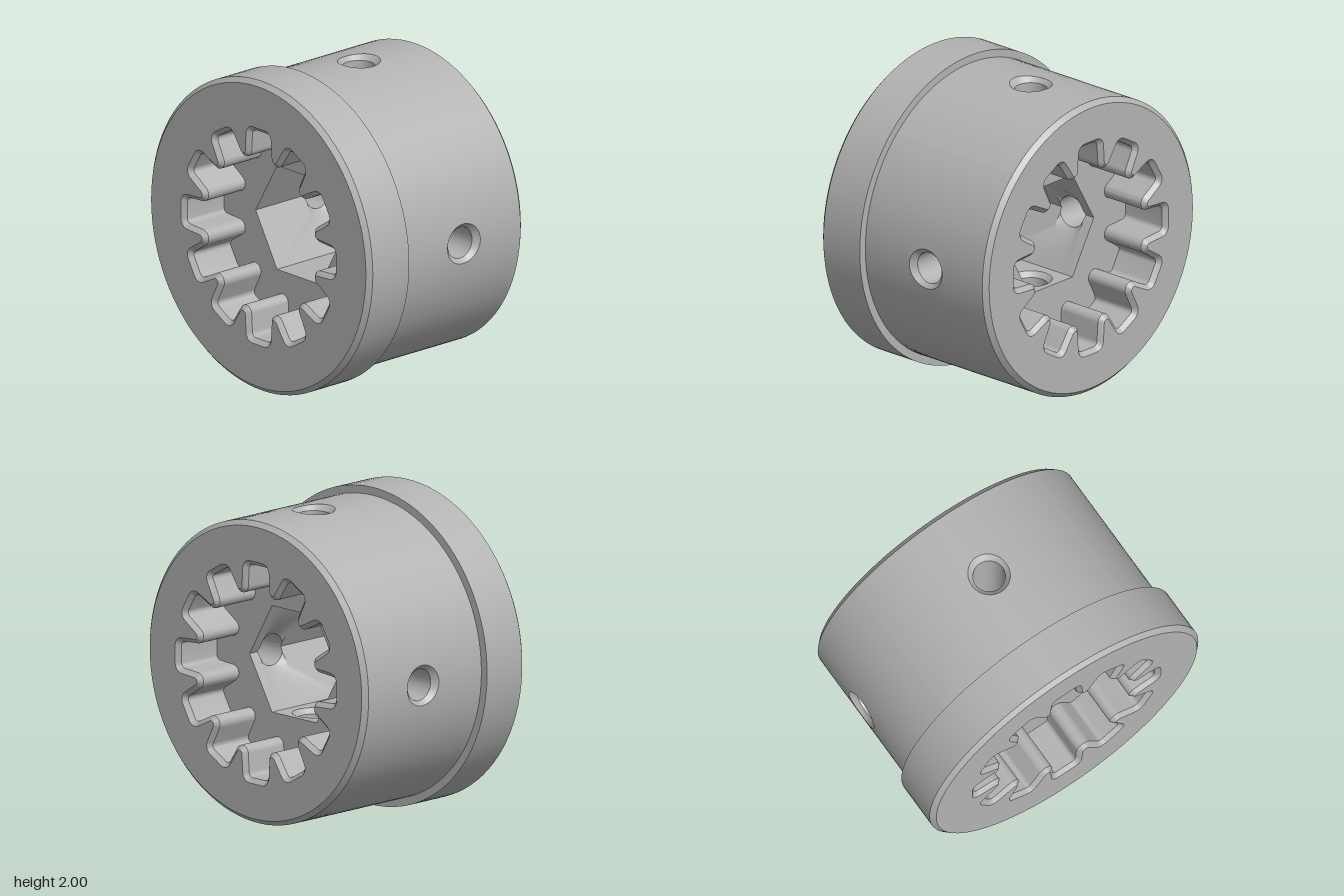
import * as THREE from 'three';
import { toCreasedNormals } from 'three/addons/utils/BufferGeometryUtils.js';

const LEN = 0.667, LEDGE = 0.335, BEVEL = 0.03;      // half length, socket floor z, edge bevel
const BODY_R = 0.95, FLANGE_R = 1;
const FLAT = 0.335, CORNER = FLAT * 2 / Math.sqrt(3); // hexagon apothem and corner radius
const HOLE_R = 0.1, HOLE_Z = -0.167;
const SIDE = 24;                                      // points per patch side

const V2 = (x, y) => new THREE.Vector2(x, y);
const V3 = (x, y, z) => new THREE.Vector3(x, y, z);
const creased = (g) => toCreasedNormals(g, 0.5);

// Skin a list of closed rings of equal length
function loft(rings) {
  const n = rings[0].length, pos = [], idx = [];
  rings.forEach((r) => r.forEach((p) => pos.push(p.x, p.y, p.z)));
  for (let i = 0; i < rings.length - 1; i++) {
    for (let j = 0; j < n; j++) {
      const k = (j + 1) % n, a = i * n, b = a + n;
      idx.push(a + j, a + k, b + k, a + j, b + k, b + j);
    }
  }
  const g = new THREE.BufferGeometry();
  g.setAttribute('position', new THREE.Float32BufferAttribute(pos, 3));
  g.setIndex(idx);
  return creased(g);
}

function circle(r, n, start = 0) {
  return Array.from({ length: n }, (_, i) => {
    const t = start + i / n * Math.PI * 2;
    return V2(r * Math.cos(t), r * Math.sin(t));
  });
}

// Twelve-slot internal outline; off widens the slots
function splineOutline(off) {
  const deg = Math.PI / 180, C = V2(0.642, 0.055), D = V2(0.531, 0.142), end = 86.5;
  const half = [];
  for (let i = 0; i <= 6; i++) {                      // slot corner
    const a = end * i / 6 * deg, r = 0.03 + off;
    half.push(V2(C.x + r * Math.cos(a), C.y + r * Math.sin(a)));
  }
  for (let i = 0; i <= 6; i++) {                      // tooth tip
    const b = (end + (15 - end) * i / 6) * deg, r = 0.05 - off;
    half.push(V2(D.x - r * Math.cos(b), D.y - r * Math.sin(b)));
  }
  const slot = half.slice(0, -1).reverse().map((p) => V2(p.x, -p.y)).concat(half);
  const out = [];
  for (let k = 0; k < 12; k++) {
    slot.forEach((p) => out.push(p.clone().rotateAround(V2(0, 0), k * 30 * deg)));
  }
  return out;
}

function plate(outer, inner, z) {
  const s = new THREE.Shape(outer);
  s.holes.push(new THREE.Path(inner));
  return new THREE.ShapeGeometry(s).translate(0, 0, z);
}

// Points around a rectangle, starting at the lower left corner
function rectangle(u, w0, w1) {
  const c = [V2(-u, w0), V2(u, w0), V2(u, w1), V2(-u, w1)], out = [];
  for (let s = 0; s < 4; s++) {
    for (let i = 0; i < SIDE; i++) out.push(c[s].clone().lerp(c[(s + 1) % 4], i / SIDE));
  }
  return out;
}

// One sector: outer wall, countersunk radial hole and hexagon wall
function sector(atCorner, angle) {
  const n = SIDE * 4, rings = [];
  const unit = circle(1, n, -Math.PI * 0.75);
  const outerD = (a) => Math.sqrt(BODY_R * BODY_R - a * a);
  const innerD = (a) => (atCorner ? CORNER - Math.abs(a) / Math.sqrt(3) : FLAT);
  const solve = (depth, radius) => unit.map((p) => {
    let r = HOLE_R;
    for (let i = 0; i < 40; i++) r = radius(depth(r * p.x));
    return V3(depth(r * p.x), r * p.x, HOLE_Z + r * p.y);
  });
  const outerEdge = solve(outerD, (d) => HOLE_R + Math.max(0, d - 0.914));
  const innerEdge = solve(innerD, (d) => Math.min(0.16, HOLE_R + Math.max(0, FLAT + 0.032 - d)));

  // cylinder wall shrinking from the sector border to the hole
  const border = rectangle(Math.PI / 4, -LEN + BEVEL, LEDGE);
  for (let k = 0; k < 10; k++) {
    rings.push(border.map((p, j) => {
      const e = outerEdge[j], t = k / 10;
      const th = THREE.MathUtils.lerp(p.x, Math.asin(e.y / BODY_R), t);
      return V3(BODY_R * Math.cos(th), BODY_R * Math.sin(th), THREE.MathUtils.lerp(p.y, e.z, t));
    }));
  }
  rings.push(outerEdge);
  const bore = (d) => unit.map((p, j) => V3(d(j), HOLE_R * p.x, HOLE_Z + HOLE_R * p.y));
  rings.push(bore(() => 0.914), bore((j) => Math.max(FLAT + 0.032, innerEdge[j].x)), innerEdge);
  rings.push(rectangle(atCorner ? FLAT : CORNER / 2, -LEDGE, LEDGE)
    .map((p) => V3(innerD(p.x), p.x, p.y)));
  return loft(rings).rotateZ(angle);
}

function lathe(points) {
  const g = new THREE.LatheGeometry(points.map((p) => V2(p[0], p[1])), 96);
  return creased(g.rotateX(Math.PI / 2));
}

export function createModel() {
  const model = new THREE.Group();
  model.name = 'splinedCoupling';
  const steel = new THREE.MeshStandardMaterial({ color: 0xb2b2b2 });
  steel.name = 'greySteel';
  const add = (parent, name, geometry) => {
    const m = new THREE.Mesh(geometry, steel);
    m.name = name;
    parent.add(m);
  };

  const body = new THREE.Group();
  body.name = 'body';
  body.position.y = 1;
  model.add(body);

  // Front flange and rear edge bevel
  add(body, 'flange', lathe([[BODY_R, LEDGE], [FLANGE_R, LEDGE],
    [FLANGE_R, LEN - BEVEL], [FLANGE_R - BEVEL, LEN]]));
  add(body, 'rearBevel', lathe([[BODY_R - BEVEL, -LEN], [BODY_R, -LEN + BEVEL]]));

  // Four sectors with a cross hole each
  ['left', 'top', 'right', 'bottom'].forEach((side, i) =>
    add(body, side + 'HoleSector', sector(i % 2 === 0, i * Math.PI / 2)));

  // Splined socket at each end
  const wide = splineOutline(0.028), deep = splineOutline(0);
  const at = (pts, z) => pts.map((p) => V3(p.x, p.y, z));
  [['front', FLANGE_R, 0], ['rear', BODY_R, Math.PI]].forEach(([end, r, turn]) => {
    const socket = new THREE.Group();
    socket.name = end + 'Socket';
    socket.rotation.y = turn;
    body.add(socket);
    add(socket, end + 'Face', plate(circle(r - BEVEL, 96), wide, LEN));
    add(socket, end + 'SplineBevel', loft([at(wide, LEN), at(deep, LEN - 0.028)]));
    add(socket, end + 'SplineWall', loft([at(deep, LEN - 0.028), at(deep, LEDGE)]));
    add(socket, end + 'SocketFloor', plate(deep, circle(CORNER, 6), LEDGE));
  });
  return model;
}
